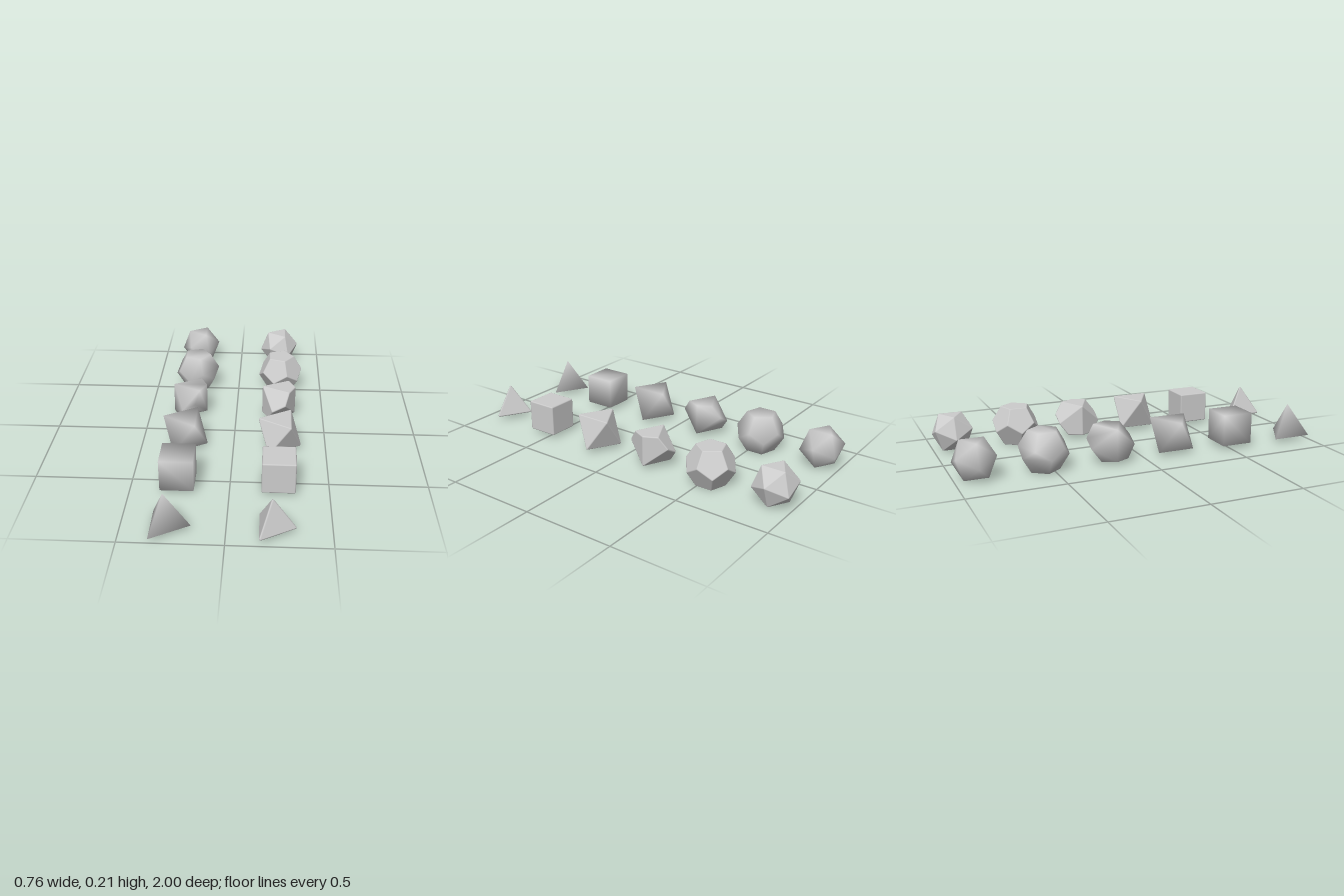
import * as THREE from 'three';
import { ConvexGeometry } from 'three/addons/geometries/ConvexGeometry.js';
import { mergeVertices } from 'three/addons/utils/BufferGeometryUtils.js';

const V = (x, y, z) => new THREE.Vector3(x, y, z);

// n corners on a horizontal circle; phase turns the first corner away from +x
function ring(n, radius, y, phase = 0) {
  return Array.from({ length: n }, (_, i) => {
    const a = phase + (i * 2 * Math.PI) / n;
    return V(radius * Math.cos(a), y, radius * Math.sin(a));
  });
}
const withOpposites = (pts) => pts.concat(pts.map((p) => p.clone().negate()));

// Corners of each solid, resting on a face, centred on its own origin
function tetrahedron(R) {
  return [V(0, R, 0), ...ring(3, (R * Math.sqrt(8)) / 3, -R / 3)];
}
function cube(size) {
  return withOpposites(ring(4, size / Math.SQRT2, size / 2, Math.PI / 4));
}
function octahedron(R) {
  return withOpposites(ring(3, R * Math.sqrt(2 / 3), R / Math.sqrt(3), Math.PI));
}
function trapezohedron(R) {
  const c = Math.cos(Math.PI / 5);
  const h = (R * (1 - c)) / (1 + c);
  const pts = withOpposites([V(0, R, 0), ...ring(5, R, -h)]);
  return pts.map((p) => p.applyAxisAngle(V(0, 0, 1), Math.atan((R + h) / R)));
}
const HIGH = Math.sqrt((5 + 2 * Math.sqrt(5)) / 15);
const LOW = Math.sqrt((5 - 2 * Math.sqrt(5)) / 15);
function twoRings(n, R, capPhase) {
  return withOpposites([
    ...ring(n, R * Math.sqrt(1 - HIGH * HIGH), R * HIGH, capPhase),
    ...ring(n, R * Math.sqrt(1 - LOW * LOW), R * LOW),
  ]);
}

// Sharp solid whose corner normals are averaged
function sharpSolid(pts) {
  const hull = new ConvexGeometry(pts);
  hull.deleteAttribute('normal');
  const geo = mergeVertices(hull, 1e-5);
  geo.computeVertexNormals();
  return geo;
}

// Distinct outward face directions of a convex solid
function faceNormals(pts) {
  const nor = new ConvexGeometry(pts).attributes.normal;
  const found = [];
  for (let i = 0; i < nor.count; i += 3) {
    const n = V().fromBufferAttribute(nor, i);
    if (!found.some((f) => f.dot(n) > 0.999)) found.push(n);
  }
  return found;
}

// Same solid with softly rounded edges: a shrunken core swept by a small ball
function roundedSolid(pts, r) {
  const normals = faceNormals(pts);
  const inner = Math.max(...pts.map((p) => p.dot(normals[0])));
  const cores = pts.map((p) => p.clone().multiplyScalar(1 - r / inner));
  const cloud = [];
  cores.forEach((core, k) => {
    const near = normals.filter((n) => n.dot(pts[k]) > inner - 1e-4);
    const dirs = [pts[k].clone().normalize()];
    near.forEach((a, i) => {
      dirs.push(a);
      for (const b of near.slice(i + 1)) dirs.push(a.clone().add(b).normalize());
    });
    for (const d of dirs) cloud.push(core.clone().addScaledVector(d, r));
  });
  const geo = new ConvexGeometry(cloud);
  // each normal points away from the nearest core corner
  const pos = geo.attributes.position;
  for (let i = 0; i < pos.count; i++) {
    const p = V().fromBufferAttribute(pos, i);
    let best = cores[0];
    for (const c of cores) if (c.distanceTo(p) < best.distanceTo(p)) best = c;
    const n = p.sub(best).normalize();
    geo.attributes.normal.setXYZ(i, n.x, n.y, n.z);
  }
  return geo;
}

export function createModel() {
  const group = new THREE.Group();
  const material = new THREE.MeshStandardMaterial({ color: 0xcccccc });

  // name, corners, x of sharp one, x of rounded one, y, z
  const rows = [
    ['Tetrahedron', tetrahedron(0.134), -0.29, 0.215, 0.067, 0.891],
    ['Cube', cube(0.17), -0.261, 0.245, 0.107, 0.535],
    ['Octahedron', octahedron(0.144), -0.257, 0.25, 0.107, 0.177],
    ['TenSidedDie', trapezohedron(0.127), -0.263, 0.244, 0.107, -0.18],
    ['Dodecahedron', twoRings(5, 0.132, 0), -0.253, 0.253, 0.105, -0.54],
    ['Icosahedron', twoRings(3, 0.119, Math.PI), -0.262, 0.246, 0.107, -0.897],
  ];

  for (const [name, pts, xSharp, xRound, y, z] of rows) {
    const sharp = new THREE.Mesh(sharpSolid(pts), material);
    sharp.name = 'sharp' + name;
    sharp.position.set(xSharp, y, z);

    const rounded = new THREE.Mesh(roundedSolid(pts, 0.007), material);
    rounded.name = 'rounded' + name;
    rounded.position.set(xRound, y, z);

    group.add(sharp, rounded);
  }
  return group;
}
